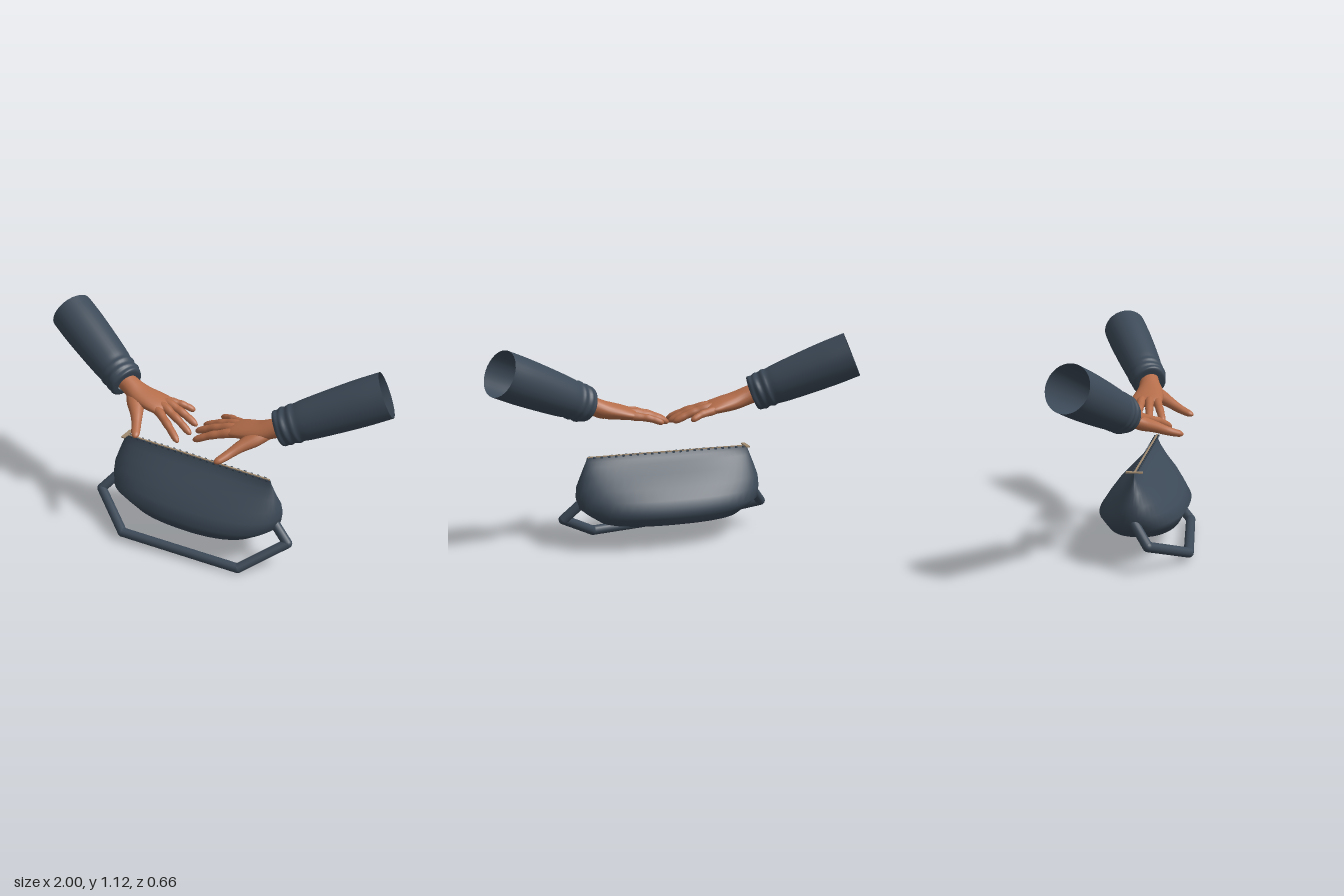
import * as THREE from 'three';

const mat = (name, color, side = THREE.FrontSide) => {
  const m = new THREE.MeshStandardMaterial({ color, side });
  m.name = name;
  return m;
};

// Elliptical rings swept along a path; each row is [x, y, z, halfWidth, halfThickness].
function loft(rows, { steps = rows.length - 1, sides = 24, up = [0, 1, 0], round = false, wobble = () => 1 } = {}) {
  const path = new THREE.CatmullRomCurve3(rows.map(r => new THREE.Vector3(r[0], r[1], r[2])), false, 'catmullrom');
  const size = new THREE.CatmullRomCurve3(rows.map(r => new THREE.Vector3(r[3], r[4], 0)), false, 'catmullrom');
  const upV = new THREE.Vector3(...up), pos = [], idx = [];
  for (let i = 0; i <= steps; i++) {
    const u = round ? 1 - (1 - i / steps) ** 2 : i / steps;
    const c = path.getPoint(u), t = path.getTangent(u), s = size.getPoint(u);
    const b = t.clone().cross(upV).normalize(), n = b.clone().cross(t);
    const cap = round ? Math.sqrt(Math.max(0, 1 - Math.max(0, (u - 0.9) / 0.1) ** 2)) : 1;
    for (let j = 0; j < sides; j++) {
      const a = (j / sides) * Math.PI * 2, k = cap * wobble(u, a);
      const p = c.clone().addScaledVector(b, Math.cos(a) * s.x * k).addScaledVector(n, Math.sin(a) * s.y * k);
      pos.push(p.x, p.y, p.z);
      if (i < steps) {
        const p0 = i * sides + j, p1 = i * sides + (j + 1) % sides;
        idx.push(p0, p0 + sides, p1, p1, p0 + sides, p1 + sides);
      }
    }
  }
  const g = new THREE.BufferGeometry();
  g.setAttribute('position', new THREE.Float32BufferAttribute(pos, 3));
  g.setIndex(idx);
  g.computeVertexNormals();
  return g;
}

// Squared-off oval: radius factor for a superellipse of power p
const squarish = (a, p) => (Math.abs(Math.cos(a)) ** p + Math.abs(Math.sin(a)) ** p) ** (-1 / p);

export function createModel() {
  const model = new THREE.Group();
  const cloth = mat('slate cloth', 0x3c4957, THREE.DoubleSide);
  const skin = mat('skin', 0xb46d4a);
  const tan = mat('tan zip', 0xa08a70);
  const black = mat('black base', 0x121212, THREE.DoubleSide);

  const add = (parent, name, geometry, material) => {
    const m = new THREE.Mesh(geometry, material);
    m.name = name;
    parent.add(m);
    return m;
  };
  const group = name => {
    const g = new THREE.Group();
    g.name = name;
    model.add(g);
    return g;
  };

  // Pouch: oval sections narrowing to a straight ridge
  const bag = group('bag');
  const midZ = 0.046;
  const levels = [
    [0.107, 0.115, 0.07], [0.122, 0.25, 0.13], [0.14, 0.385, 0.188], [0.18, 0.445, 0.21],
    [0.22, 0.495, 0.232], [0.275, 0.506, 0.196], [0.33, 0.503, 0.155], [0.39, 0.482, 0.094],
    [0.44, 0.463, 0.043], [0.465, 0.452, 0.02], [0.488, 0.445, 0.008],
  ];
  add(bag, 'pouch', loft(levels.map(([y, rx, rz]) => [0, y, midZ, rx, rz]),
    { sides: 56, up: [0, 0, 1], wobble: (u, a) => squarish(a, 2.3) }), cloth);

  // Oval base patch
  const base = add(bag, 'basePatch', new THREE.CircleGeometry(1, 40), black);
  base.scale.set(0.115, 0.07, 1);
  base.rotation.x = Math.PI / 2;
  base.position.set(0, 0.106, midZ);

  // Zip with teeth and end tab
  const box = (name, size, at, material) =>
    add(bag, name, new THREE.BoxGeometry(...size), material).position.set(...at);
  box('zipTape', [0.88, 0.005, 0.01], [0, 0.4895, midZ], tan);
  box('zipTab', [0.022, 0.006, 0.085], [-0.437, 0.491, midZ], tan);
  for (let i = 0; i < 44; i++) {
    box('zipTooth', [0.012, 0.009, 0.014], [-0.42 + i * 0.0197, 0.487, midZ + (i % 2 ? 0.006 : -0.006)], cloth);
  }

  // Strap: straight tube runs with round joints
  const strap = group('strap');
  const strapPts = [
    [-0.485, 0.235, 0.055], [-0.56, 0.146, 0.13], [-0.31, 0.047, 0.307],
    [0.37, 0.026, 0.245], [0.57, 0.155, 0.075], [0.485, 0.235, 0.055],
  ].map(p => new THREE.Vector3(...p));
  strapPts.forEach((p, i) => {
    add(strap, 'strapJoint', new THREE.SphereGeometry(0.026, 16, 12), cloth).position.copy(p);
    if (!i) return;
    const d = p.clone().sub(strapPts[i - 1]);
    const run = add(strap, 'strapRun', new THREE.CylinderGeometry(0.026, 0.026, d.length(), 16, 1, true), cloth);
    run.position.copy(p).addScaledVector(d, -0.5);
    run.quaternion.setFromUnitVectors(new THREE.Vector3(0, 1, 0), d.normalize());
  });

  // Arms: fingertips listed from little finger to first finger
  const knuckles = [[0.205, 0.712, -0.052], [0.195, 0.722, -0.01], [0.195, 0.722, 0.035], [0.21, 0.714, 0.077]];
  const arms = [
    { name: 'left', s: 1, open: [0.938, 1.012, -0.212],
      tips: [[0.07, 0.68, -0.1], [0.015, 0.66, -0.005], [0.005, 0.655, 0.06], [0.03, 0.645, 0.13]] },
    { name: 'right', s: -1, open: [0.938, 1.002, -0.19],
      tips: [[0.085, 0.678, -0.085], [0.015, 0.655, 0.01], [0.01, 0.642, 0.085], [0.03, 0.638, 0.18]] },
  ];
  // Sleeve rows: distance along the arm and radius, with bunched folds at the cuff
  const sleeve = [
    [0, 0.12], [0.2, 0.12], [0.4, 0.116], [0.6, 0.11], [0.75, 0.104], [0.82, 0.099],
    [0.86, 0.103], [0.9, 0.096], [0.94, 0.101], [0.97, 0.095], [1.0, 0.095], [1.02, 0.086], [1.025, 0.056],
  ];
  const cuff = new THREE.Vector3(0.465, 0.787, -0.002);

  for (const { name, s, open, tips } of arms) {
    const arm = group(name + 'Arm');
    const flip = rows => rows.map(([x, ...rest]) => [x * s, ...rest]);

    const start = new THREE.Vector3(...open);
    add(arm, name + 'Sleeve', loft(flip(sleeve.map(([t, r]) => {
      const p = start.clone().lerp(cuff, t);
      return [p.x, p.y, p.z, r, r];
    })), {
      steps: 48, sides: 32,
      wobble: (u, a) => 1 + (u > 0.4 && u < 0.97 ? 0.06 * (u - 0.4) * Math.sin(3 * a + u * 18) : 0),
    }), cloth);

    // Wrist, palm and back of the hand
    add(arm, name + 'Palm', loft(flip([
      [0.5, 0.803, -0.015, 0.054, 0.05], [0.43, 0.775, 0.004, 0.056, 0.049], [0.36, 0.748, 0.016, 0.072, 0.046],
      [0.28, 0.731, 0.016, 0.083, 0.039], [0.22, 0.719, 0.013, 0.085, 0.03], [0.185, 0.713, 0.012, 0.068, 0.018],
    ]), { steps: 30, round: true }), skin);

    // Fingers, gently arched with slight joint swellings
    tips.forEach((tip, i) => {
      const k = knuckles[i], w = i === 0 ? 0.9 : 1;
      const at = (t, lift, r) => [...k.map((v, a) => v + (tip[a] - v) * t + (a === 1 ? lift : 0)), r * w, r * w];
      const root = k.map((v, a) => v + [0.07, 0.012, (0.012 - k[2]) * 0.3][a]);
      add(arm, name + 'Finger', loft(flip([
        [...root, 0.02, 0.018], at(0, 0.002, 0.025), at(0.25, 0.006, 0.0215), at(0.42, 0.009, 0.0225),
        at(0.6, 0.008, 0.0195), at(0.74, 0.006, 0.0198), at(1, 0, 0.0165),
      ]), { steps: 32, sides: 14, round: true }), skin);
    });

    // Thumb, broad where it joins the palm
    add(arm, name + 'Thumb', loft(flip([
      [0.415, 0.752, 0.02, 0.032, 0.03], [0.36, 0.725, 0.07, 0.046, 0.036], [0.315, 0.7, 0.13, 0.034, 0.029],
      [0.285, 0.678, 0.178, 0.026, 0.024], [0.262, 0.662, 0.22, 0.024, 0.02], [0.237, 0.648, 0.266, 0.019, 0.015],
    ]), { steps: 32, sides: 16, round: true }), skin);
  }
  return model;
}
